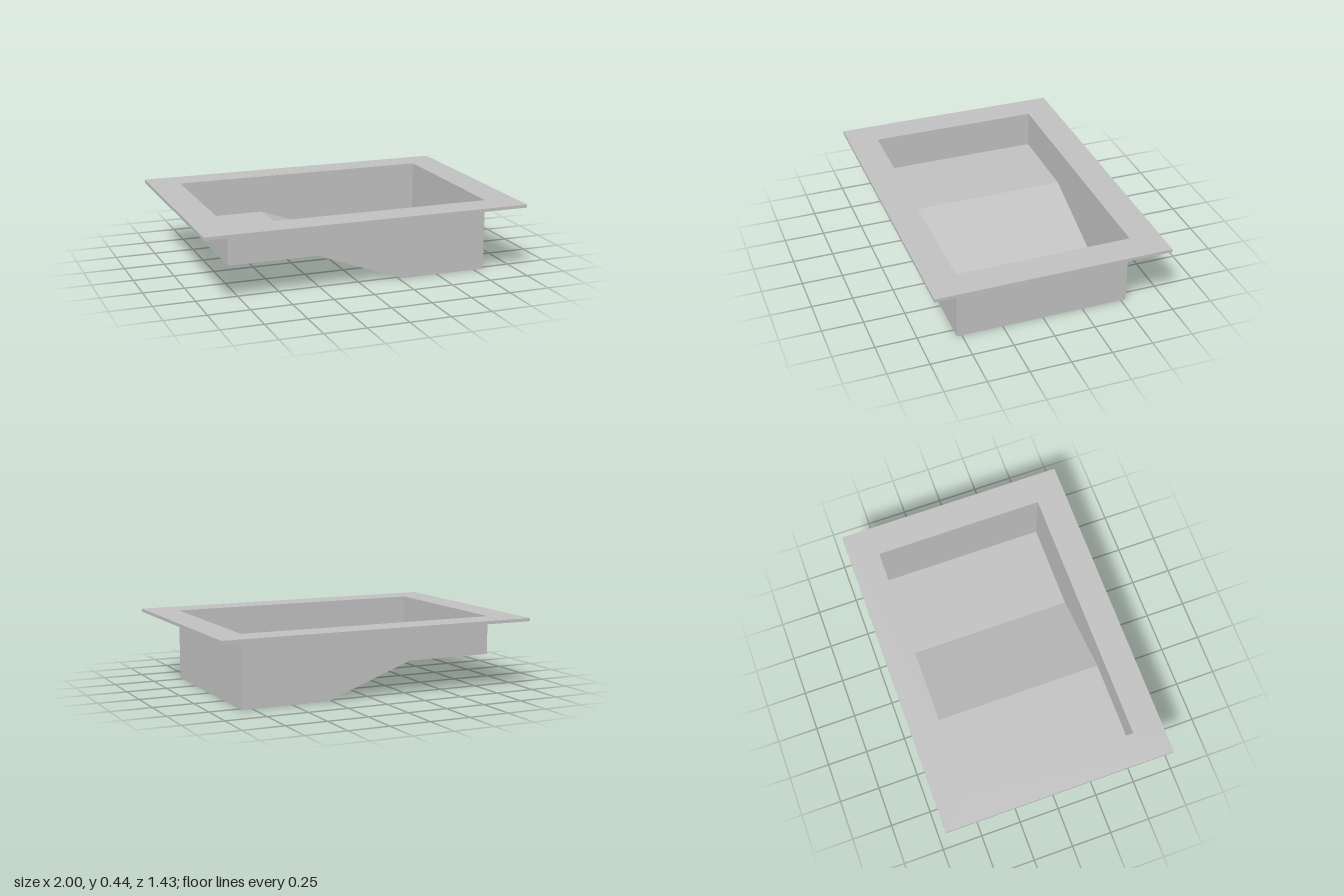
import * as THREE from 'three';

const HX = 0.813, HZ = 0.53;       // basin half sizes
const RIM_BOTTOM = 0.417, RIM_TOP = 0.436;

// Side outline of the basin: shallow end, slope, deep end
const PROFILE = [
  [-HX, RIM_BOTTOM], [-HX, 0.2], [-0.27, 0.2],
  [0.27, 0], [HX, 0], [HX, RIM_BOTTOM],
];

function rectangle(path, hx, hz) {
  path.moveTo(-hx, -hz);
  path.lineTo(hx, -hz);
  path.lineTo(hx, hz);
  path.lineTo(-hx, hz);
  path.closePath();
  return path;
}

// Flat strip spanning the basin's width between two profile points
function strip([x0, y0], [x1, y1]) {
  const g = new THREE.BufferGeometry();
  g.setAttribute('position', new THREE.Float32BufferAttribute([
    x0, y0, HZ, x1, y1, HZ, x1, y1, -HZ, x0, y0, -HZ,
  ], 3));
  g.setIndex([0, 1, 2, 0, 2, 3]);
  g.computeVertexNormals();
  return g;
}

export function createModel() {
  const model = new THREE.Group();
  model.name = 'pool';
  const grey = new THREE.MeshStandardMaterial({ color: 0xc0c0c0, side: THREE.DoubleSide });
  grey.name = 'light grey';

  const add = (name, geometry) => {
    const mesh = new THREE.Mesh(geometry, grey);
    mesh.name = name;
    model.add(mesh);
    return mesh;
  };

  // Flat deck around the opening
  const deck = rectangle(new THREE.Shape(), 1, 0.714);
  deck.holes.push(rectangle(new THREE.Path(), HX, HZ));
  const deckGeometry = new THREE.ExtrudeGeometry(deck, {
    depth: RIM_TOP - RIM_BOTTOM, bevelEnabled: false,
  });
  deckGeometry.rotateX(-Math.PI / 2);
  add('deck', deckGeometry).position.y = RIM_BOTTOM;

  // End walls and floor, one strip per profile segment
  const names = ['shallowEndWall', 'shallowFloor', 'slopedFloor', 'deepFloor', 'deepEndWall'];
  names.forEach((name, i) => add(name, strip(PROFILE[i], PROFILE[i + 1])));

  // Long side walls follow the profile
  const side = new THREE.Shape(PROFILE.map(([x, y]) => new THREE.Vector2(x, y)));
  add('frontWall', new THREE.ShapeGeometry(side)).position.z = HZ;
  add('backWall', new THREE.ShapeGeometry(side)).position.z = -HZ;

  return model;
}
